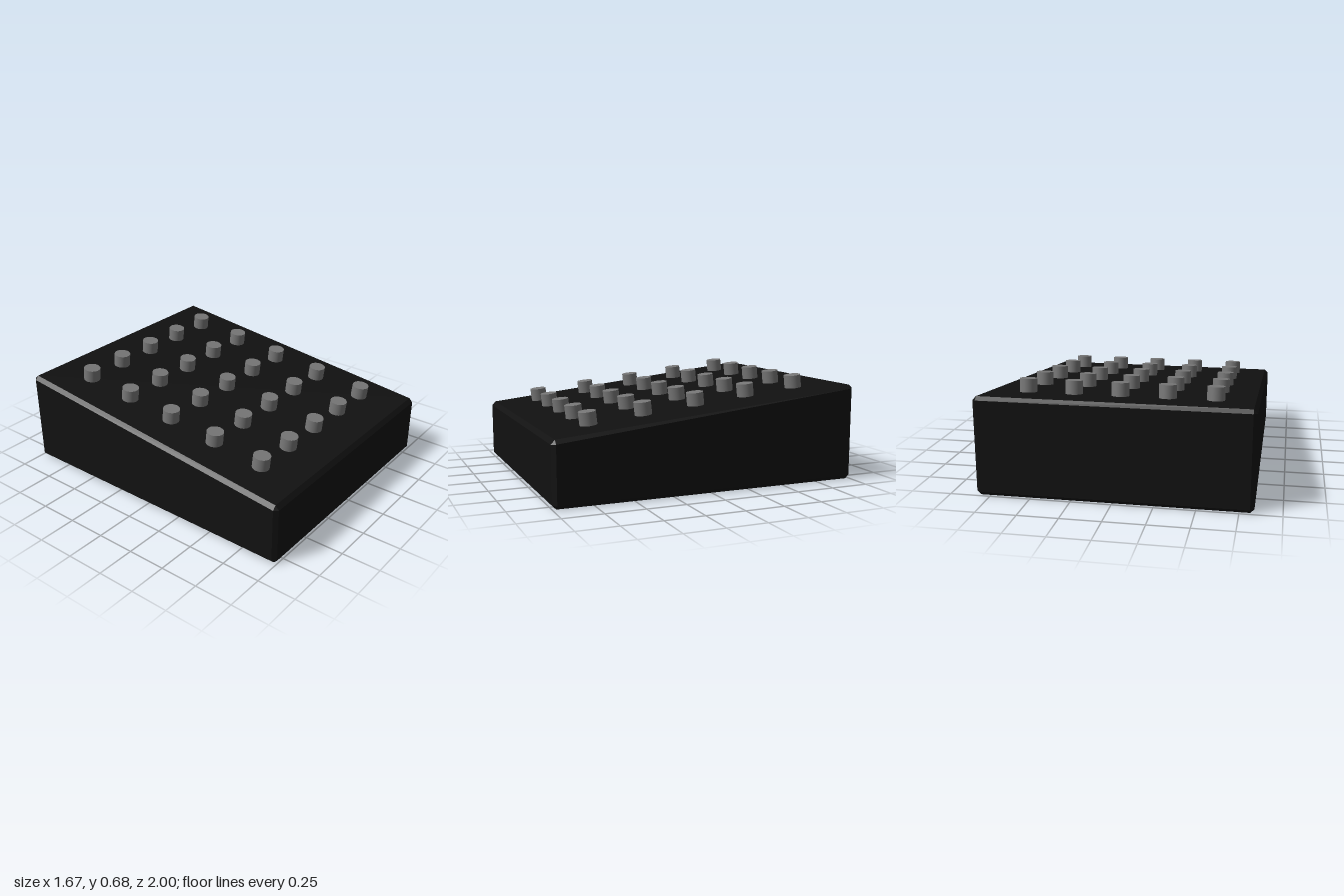
import * as THREE from 'three';
import { ConvexGeometry } from 'three/addons/geometries/ConvexGeometry.js';

const HALF_X = 0.837, HALF_Z = 1, BEVEL = 0.024;
const SLOPE = 0.111, MID_HEIGHT = 0.51;
const topHeight = (z) => MID_HEIGHT - SLOPE * z;

// Wedge-shaped block, every edge and corner chamfered
function wedgeGeometry() {
  const points = [];
  for (const sx of [-1, 1]) for (const sz of [-1, 1]) for (const top of [false, true]) {
    for (let full = 0; full < 3; full++) {
      const inset = [0, 1, 2].map((axis) => (axis === full ? 0 : BEVEL));
      const x = sx * (HALF_X - inset[0]);
      const z = sz * (HALF_Z - inset[2]);
      const y = top ? topHeight(z) - inset[1] : inset[1];
      points.push(new THREE.Vector3(x, y, z));
    }
  }
  return new ConvexGeometry(points);
}

export function createModel() {
  const model = new THREE.Group();
  model.name = 'pegBoard';

  const base = new THREE.Mesh(wedgeGeometry(), new THREE.MeshStandardMaterial({ color: 0x111111 }));
  base.name = 'slopedBase';
  model.add(base);

  // Five by five pegs standing square to the sloping top
  const pegs = new THREE.Group();
  pegs.name = 'pegs';
  const height = 0.11, sunk = 0.027;
  const pegGeometry = new THREE.CylinderGeometry(0.054, 0.054, height, 32);
  pegGeometry.translate(0, height / 2 - sunk, 0);
  const pegMaterial = new THREE.MeshStandardMaterial({ color: 0x777777 });
  for (let row = -2; row <= 2; row++) {
    for (let column = -2; column <= 2; column++) {
      const peg = new THREE.Mesh(pegGeometry, pegMaterial);
      const z = row * 0.352;
      peg.name = 'peg';
      peg.position.set(column * 0.289, topHeight(z), z);
      peg.rotation.x = Math.atan(SLOPE);
      pegs.add(peg);
    }
  }
  model.add(pegs);
  return model;
}
